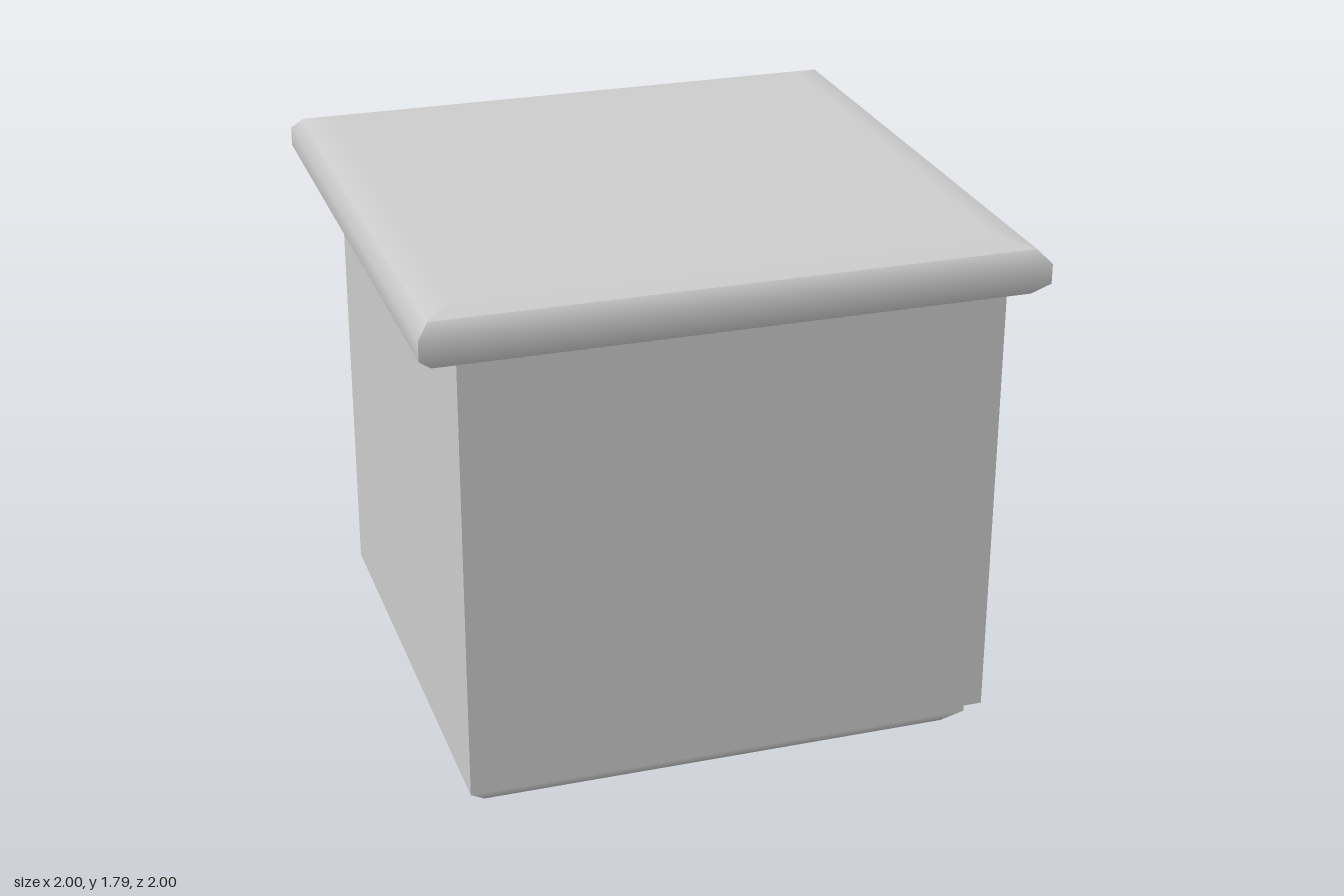
import * as THREE from 'three';

const material = new THREE.MeshStandardMaterial({ color: 0xcccccc });

// Square solid with mitred corners. Profile rows run from the bottom centre to
// the top centre: [half width, y, outward normal, upward normal].
function squareLoft(profile) {
  const positions = [], normals = [], index = [];
  const up = new THREE.Vector3(0, 1, 0);
  for (let side = 0; side < 4; side++) {
    const start = positions.length / 3;
    profile.forEach(([half, y, out, rise], row) => {
      const normal = new THREE.Vector3(0, rise, out).normalize().applyAxisAngle(up, side * Math.PI / 2);
      for (const s of [-1, 1]) {
        const p = new THREE.Vector3(s * half, y, half).applyAxisAngle(up, side * Math.PI / 2);
        positions.push(p.x, p.y, p.z);
        normals.push(normal.x, normal.y, normal.z);
      }
      if (row > 0) {
        const c = start + row * 2, a = c - 2;
        index.push(a, a + 1, c + 1, a, c + 1, c);
      }
    });
  }
  const geometry = new THREE.BufferGeometry();
  geometry.setAttribute('position', new THREE.Float32BufferAttribute(positions, 3));
  geometry.setAttribute('normal', new THREE.Float32BufferAttribute(normals, 3));
  geometry.setIndex(index);
  return geometry;
}

function addPart(group, name, geometry) {
  const mesh = new THREE.Mesh(geometry, material);
  mesh.name = name;
  group.add(mesh);
  return mesh;
}

export function createModel() {
  const model = new THREE.Group();
  model.name = 'cabinet';

  // Carcass with a softly shaded bevel around its base
  addPart(model, 'carcass', squareLoft([
    [0, 0, 0, -1],
    [0.8, 0, 0, -1],
    [0.857, 0.06, 1, 0],
    [0.857, 1.61, 1, 0],
    [0.857, 1.61, 0, 1],
    [0, 1.61, 0, 1],
  ]));

  // Overhanging top: flat underside, rounded rim, shallow sloping border
  addPart(model, 'top', squareLoft([
    [0, 1.61, 0, -1],
    [0.955, 1.61, 0, -1],
    [0.955, 1.61, 0.7, -0.7],
    [1, 1.655, 1, -0.2],
    [1, 1.72, 1, 0.2],
    [0.962, 1.76, 0.75, 0.65],
    [0.962, 1.76, 0.26, 0.97],
    [0.86, 1.788, 0, 1],
    [0, 1.788, 0, 1],
  ]));

  // Pair of doors on the +x side, meeting at a hairline gap
  const width = 0.836, gap = 0.003, bottom = 0.067, height = 1.543;
  for (const [name, s] of [['leftDoor', -1], ['rightDoor', 1]]) {
    const door = addPart(model, name, new THREE.BoxGeometry(0.075, height, width));
    door.position.set(0.8925, bottom + height / 2, s * (width + gap) / 2);
  }
  return model;
}
